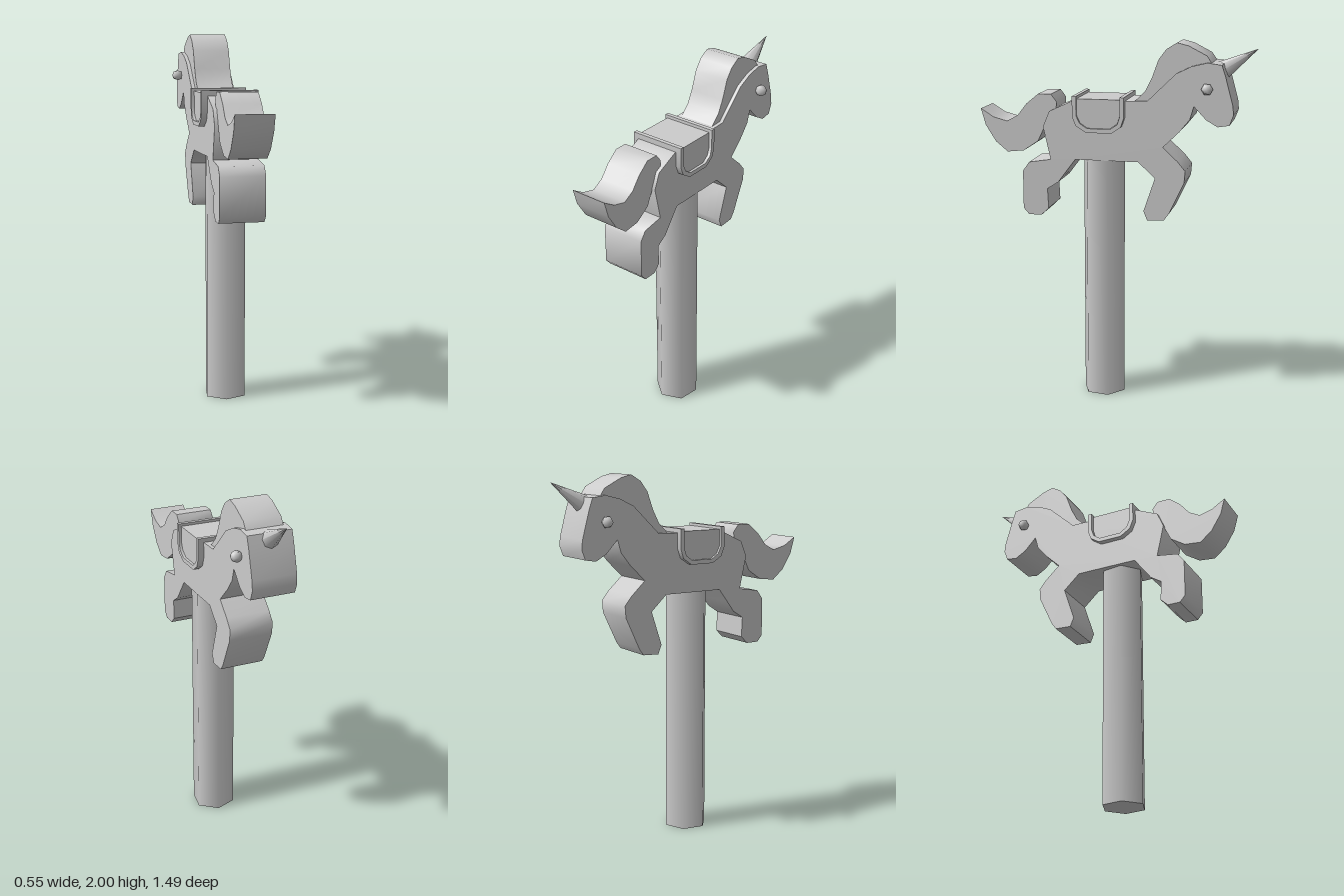
import * as THREE from 'three';
import { toCreasedNormals } from 'three/addons/utils/BufferGeometryUtils.js';

const HEADING = 0.227; // how far the animal is turned from the -z axis
const material = new THREE.MeshStandardMaterial({ color: 0xcccccc });

// Place along the body for a forward reading taken on a face at this side offset
const along = (h, side) => (h + side * Math.sin(HEADING)) / Math.cos(HEADING);

function add(parent, name, geometry) {
  const mesh = new THREE.Mesh(geometry, material);
  mesh.name = name;
  parent.add(mesh);
  return mesh;
}

// Flat cut-out of a side outline, centred across the body
function slab(parent, name, outline, width) {
  const shape = new THREE.Shape(outline.map(([h, y]) => new THREE.Vector2(along(h, width / 2), y)));
  const geometry = new THREE.ExtrudeGeometry(shape, { depth: width, bevelEnabled: false });
  geometry.translate(0, 0, -width / 2);
  return add(parent, name, toCreasedNormals(geometry, 0.8));
}

export function createModel() {
  const model = new THREE.Group();
  model.name = 'unicornOnPole';

  // Six-sided pole
  const pole = add(model, 'pole', new THREE.CylinderGeometry(0.121, 0.121, 1.4, 6));
  pole.position.set(-0.021, 0.7, 0.066);
  pole.rotation.y = Math.PI / 2 + 0.14;

  // Animal: local x runs to the head, local z across the body
  const animal = new THREE.Group();
  animal.name = 'unicorn';
  animal.position.x = -0.014;
  animal.rotation.y = Math.PI / 2 - HEADING;
  model.add(animal);

  slab(animal, 'body', [
    // neck and head
    [0.16, 1.69], [0.24, 1.77], [0.31, 1.84], [0.39, 1.88], [0.47, 1.9], [0.545, 1.89],
    [0.565, 1.83], [0.605, 1.68], [0.61, 1.63], [0.59, 1.575], [0.53, 1.565], [0.47, 1.6],
    [0.405, 1.67], [0.385, 1.6], [0.33, 1.53], [0.245, 1.445],
    // front leg
    [0.325, 1.37], [0.365, 1.32], [0.36, 1.255], [0.28, 1.08], [0.255, 1.045],
    [0.165, 1.04], [0.145, 1.09], [0.205, 1.275], [0.115, 1.36],
    // belly and hind leg
    [-0.225, 1.36], [-0.28, 1.285], [-0.32, 1.23], [-0.38, 1.19], [-0.375, 1.08],
    [-0.415, 1.04], [-0.485, 1.04], [-0.515, 1.075], [-0.515, 1.285], [-0.48, 1.335],
    // rump and back
    [-0.36, 1.355], [-0.4, 1.535], [-0.365, 1.62], [-0.24, 1.68],
  ], 0.245);

  slab(animal, 'mane', [
    [0.09, 1.68], [0.15, 1.74], [0.185, 1.81], [0.22, 1.91], [0.26, 1.965], [0.315, 2],
    [0.375, 1.985], [0.47, 1.935], [0.5, 1.89], [0.46, 1.8], [0.3, 1.66],
  ], 0.205);

  slab(animal, 'tail', [
    [-0.745, 1.62], [-0.675, 1.575], [-0.6, 1.555], [-0.54, 1.59], [-0.49, 1.655], [-0.425, 1.71],
    [-0.355, 1.71], [-0.325, 1.67], [-0.33, 1.58], [-0.395, 1.525], [-0.43, 1.45],
    [-0.51, 1.395], [-0.6, 1.385], [-0.665, 1.44], [-0.72, 1.53],
  ], 0.205);

  // Saddle cloth and the raised trim around its curve
  const outer = [[-0.24, 1.71], [-0.24, 1.6], [-0.22, 1.55], [-0.165, 1.515],
    [-0.03, 1.515], [0.02, 1.55], [0.037, 1.6], [0.037, 1.71]];
  const inner = [[-0.218, 1.71], [-0.218, 1.605], [-0.2, 1.565], [-0.16, 1.538],
    [-0.035, 1.538], [0.002, 1.565], [0.015, 1.605], [0.015, 1.71]];
  slab(animal, 'saddleTrim', [...outer, ...[...inner].reverse()], 0.31);
  slab(animal, 'saddle', inner.map(([h, y]) => [h, Math.min(y, 1.695)]), 0.28);

  // Horn
  const base = new THREE.Vector3(along(0.53, 0), 1.83, 0);
  const tip = new THREE.Vector3(along(0.745, 0), 1.968, 0);
  const axis = tip.clone().sub(base);
  const horn = add(animal, 'horn', new THREE.ConeGeometry(0.06, axis.length(), 8));
  horn.position.copy(base).add(tip).multiplyScalar(0.5);
  horn.quaternion.setFromUnitVectors(new THREE.Vector3(0, 1, 0), axis.normalize());

  // Eyes, one on each side
  for (const side of [-1, 1]) {
    const eye = add(animal, side > 0 ? 'leftEye' : 'rightEye', new THREE.SphereGeometry(0.032, 6, 4));
    eye.rotation.x = Math.PI / 2;
    eye.position.set(along(0.47, 0.14), 1.765, side * 0.143);
  }
  return model;
}
